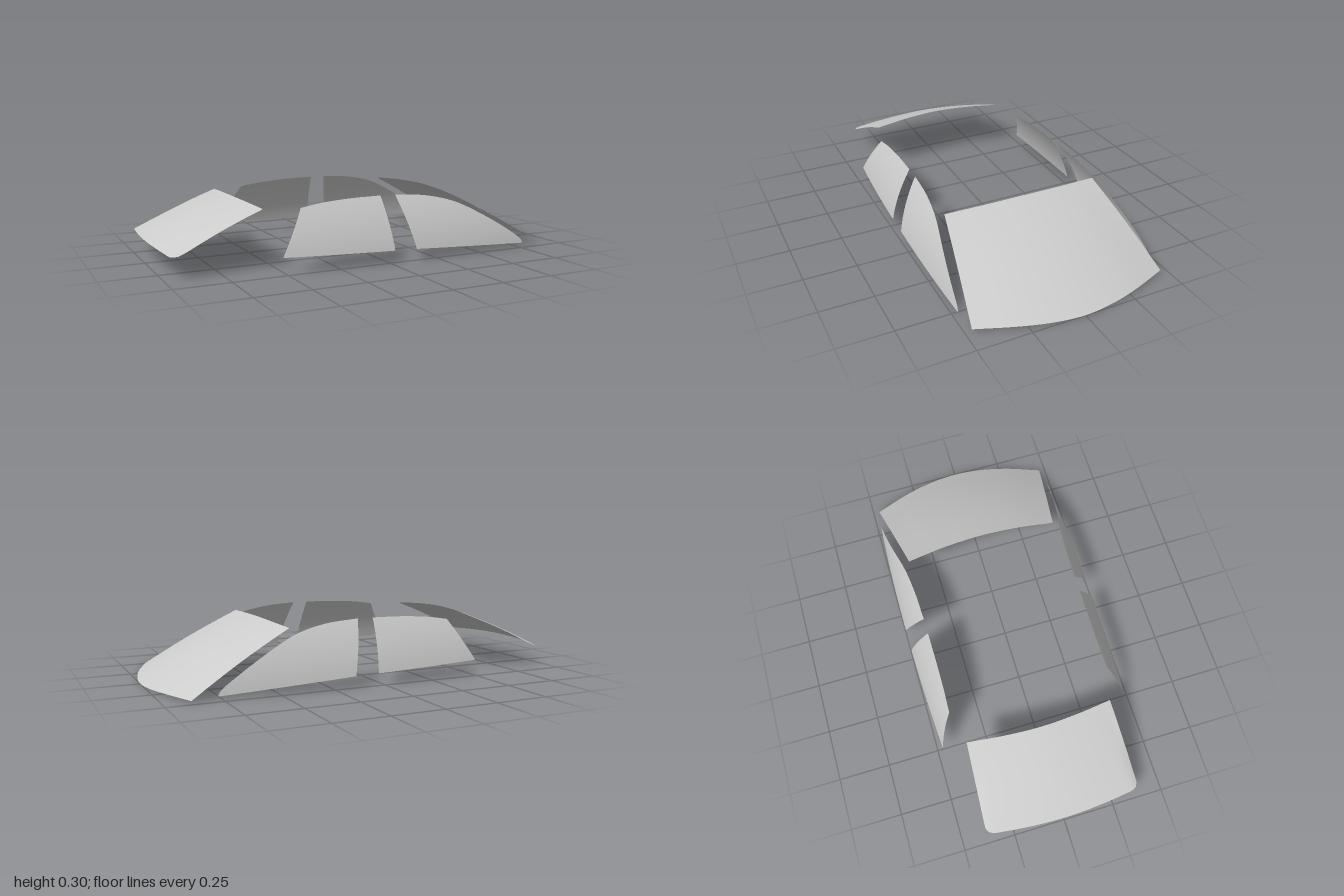
import * as THREE from 'three';
import { ParametricGeometry } from 'three/addons/geometries/ParametricGeometry.js';

const glass = new THREE.MeshStandardMaterial({ color: 0xcccccc, side: THREE.DoubleSide });

const curve = (pts) => new THREE.CatmullRomCurve3(
  pts.map(([x, y, z = 0]) => new THREE.Vector3(x, y, z)), false, 'centripetal');

// Full edge from its +z half, listed from the outer end to the centre
const mirrored = (half) => curve([
  ...half, ...half.slice(0, -1).reverse().map(([x, y, z]) => [x, y, -z])]);

// Pane spanned between a lower and an upper edge; shape(point, u, v) bends it
function pane(name, lower, upper, shape, reverse = false) {
  const geometry = new ParametricGeometry((u, v, target) => {
    const s = reverse ? 1 - u : u;
    target.lerpVectors(lower.getPointAt(s), upper.getPointAt(s), v);
    shape(target, s, v);
  }, 40, 16);
  geometry.computeVertexNormals();
  const mesh = new THREE.Mesh(geometry, glass);
  mesh.name = name;
  return mesh;
}

// Outward bow of the front and rear glass, strongest on the centre line
const bow = (edge, middle) => (p, u, v) => {
  p.y += Math.sin(Math.PI * v) * (edge + (middle - edge) * Math.sin(Math.PI * u));
};

// Tumblehome of the body side: leans inward with height and towards both ends
const bodySide = (side) => (p) => {
  const t = (p.y - 0.05) / 0.25;
  p.z = side * (0.497 - 0.053 * t - 0.054 * t * t - 0.05 * (p.x - 0.12) ** 2);
};

export function createModel() {
  const model = new THREE.Group();
  model.name = 'carGlass';

  // Windshield
  model.add(pane('windshield',
    mirrored([[0.885, 0.011, 0.468], [0.95, 0.01, 0.29], [0.985, 0.006, 0.15], [1, 0.003, 0]]),
    mirrored([[0.418, 0.274, 0.383], [0.438, 0.285, 0.2], [0.446, 0.29, 0]]),
    bow(0.009, 0.016)));

  // Rear window with rounded lower corners
  model.add(pane('rearWindow',
    mirrored([[-0.9, 0.122, 0.376], [-0.945, 0.104, 0.376], [-0.967, 0.101, 0.358],
      [-0.978, 0.104, 0.3], [-0.994, 0.11, 0.15], [-1, 0.112, 0]]),
    mirrored([[-0.556, 0.273, 0.354], [-0.578, 0.285, 0.18], [-0.588, 0.29, 0]]),
    bow(0.006, 0.012), true));

  // Side windows, mirrored left and right
  const frontLower = curve([[0.145, 0.055], [0.45, 0.039], [0.77, 0.022]]);
  const frontUpper = curve([[0.085, 0.3], [0.25, 0.286], [0.4, 0.25], [0.55, 0.178],
    [0.7, 0.089], [0.765, 0.042], [0.776, 0.024]]);
  const backLower = curve([[-0.512, 0.075], [-0.24, 0.066], [0.03, 0.058]]);
  const backUpper = curve([[-0.395, 0.272], [-0.29, 0.287], [-0.15, 0.297], [0.008, 0.3]]);
  for (const [label, side] of [['Left', 1], ['Right', -1]]) {
    model.add(pane(`frontSideWindow${label}`, frontLower, frontUpper, bodySide(side), side < 0));
    model.add(pane(`backSideWindow${label}`, backLower, backUpper, bodySide(side), side < 0));
  }
  return model;
}
